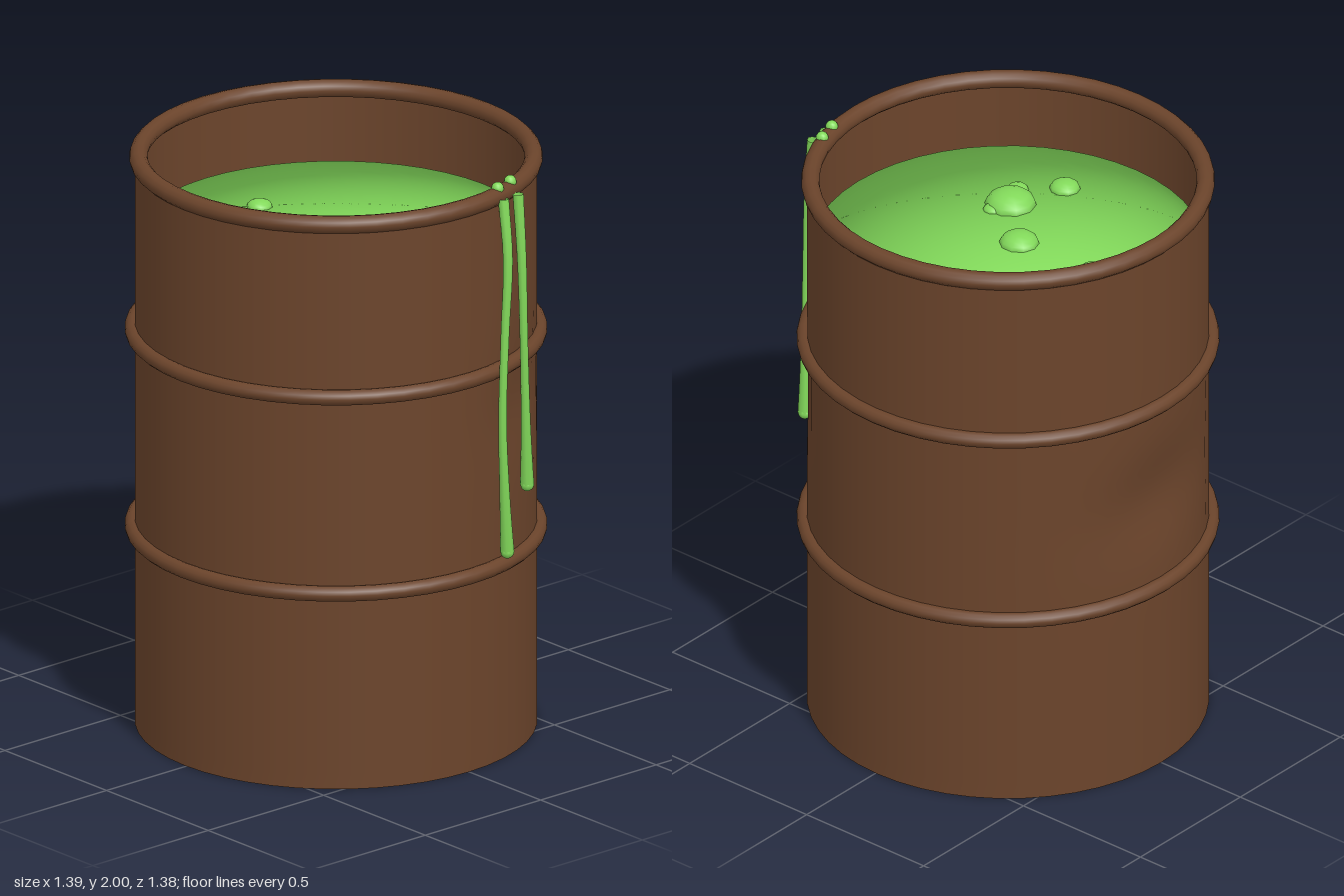
import * as THREE from 'three';

const CX = -0.007; // barrel axis

export function createModel() {
  const rust = new THREE.MeshStandardMaterial({ color: 0x6b442b, side: THREE.DoubleSide });
  rust.name = 'rusty brown';
  const slime = new THREE.MeshStandardMaterial({ color: 0x82d95a, side: THREE.DoubleSide });
  slime.name = 'slime green';

  const model = new THREE.Group();
  model.name = 'slimeBarrel';
  const add = (name, geometry, material, x, y, z) => {
    const mesh = new THREE.Mesh(geometry, material);
    mesh.name = name;
    mesh.position.set(x, y, z);
    model.add(mesh);
    return mesh;
  };

  // Open wall, pushed inwards where it is dented
  const dents = [
    { angle: Math.PI, y: 1.0, depth: 0.04, spread: 0.35, height: 0.17 },
    { angle: -0.45, y: 1.2, depth: 0.02, spread: 0.25, height: 0.17 },
  ];
  const wall = new THREE.CylinderGeometry(0.655, 0.655, 1.95, 48, 40, true);
  wall.translate(0, 0.975, 0);
  const p = wall.attributes.position;
  for (let i = 0; i < p.count; i++) {
    const angle = Math.atan2(p.getZ(i), p.getX(i));
    let r = 0.655;
    for (const d of dents) {
      const da = Math.atan2(Math.sin(angle - d.angle), Math.cos(angle - d.angle)) / d.spread;
      const dy = (p.getY(i) - d.y) / d.height;
      r -= d.depth * Math.exp(-da * da - dy * dy);
    }
    p.setX(i, r * Math.cos(angle));
    p.setZ(i, r * Math.sin(angle));
  }
  wall.computeVertexNormals();
  // Share the normals across the seam
  const n = wall.attributes.normal;
  for (let row = 0; row <= 40; row++) {
    const a = row * 49, b = a + 48;
    const v = new THREE.Vector3().fromBufferAttribute(n, a)
      .add(new THREE.Vector3().fromBufferAttribute(n, b)).normalize();
    n.setXYZ(a, v.x, v.y, v.z);
    n.setXYZ(b, v.x, v.y, v.z);
  }
  add('barrelWall', wall, rust, CX, 0, 0);

  // Base
  const base = new THREE.CircleGeometry(0.655, 48);
  base.rotateX(Math.PI / 2);
  add('barrelBase', base, rust, CX, 0.001, 0);

  // Hoops and rolled rim
  const hoops = [
    ['lowerHoop', 0.68, 0.662, 0.026],
    ['upperHoop', 1.36, 0.662, 0.026],
    ['topRim', 1.952, 0.643, 0.03],
  ];
  for (const [name, y, radius, tube] of hoops) {
    const hoop = new THREE.TorusGeometry(radius, tube, 12, 48);
    hoop.rotateX(Math.PI / 2);
    add(name, hoop, rust, CX, y, 0);
  }

  // Liquid: flattened dome that keeps its rounded normals
  const liquid = new THREE.SphereGeometry(0.64, 48, 16, 0, Math.PI * 2, 0, Math.PI / 2);
  const lp = liquid.attributes.position;
  for (let i = 0; i < lp.count; i++) lp.setY(i, lp.getY(i) * 0.01);
  add('liquidSurface', liquid, slime, CX, 1.7, 0);

  // Bubbles: x, z, radius
  const bubbles = [
    [-0.32, 0.055, 0.043], [-0.025, 0.035, 0.066], [0.157, 0.205, 0.085],
    [0.178, 0.14, 0.032], [0.198, 0.288, 0.037], [0.087, 0.395, 0.051],
  ];
  for (const [x, z, r] of bubbles) {
    add('bubble', new THREE.SphereGeometry(r, 10, 8), slime, x, 1.705, z).scale.y = 0.6;
  }

  // Drips: tubes that thin in the middle and swell to a bead
  const drips = [
    [[0.65, 1.95, -0.147], [0.68, 1.75, -0.14], [0.683, 1.5, -0.125],
      [0.682, 1.2, -0.115], [0.677, 0.95, -0.128], [0.671, 0.735, -0.145]],
    [[0.645, 1.95, -0.215], [0.66, 1.72, -0.218], [0.662, 1.45, -0.225],
      [0.655, 1.2, -0.238], [0.646, 0.935, -0.253]],
  ];
  for (const points of drips) {
    const curve = new THREE.CatmullRomCurve3(points.map((q) => new THREE.Vector3(...q)));
    const steps = 24, sides = 8;
    const tube = new THREE.TubeGeometry(curve, steps, 1, sides);
    const tp = tube.attributes.position, tn = tube.attributes.normal;
    for (let i = 0; i < tp.count; i++) {
      const t = Math.floor(i / (sides + 1)) / steps;
      const r = 0.011 + 0.007 * (1 - t) ** 2 + 0.012 * t ** 4;
      const c = curve.getPointAt(t);
      tp.setXYZ(i, c.x + r * tn.getX(i), c.y + r * tn.getY(i), c.z + r * tn.getZ(i));
    }
    add('drip', tube, slime, 0, 0, 0);
    add('dripBead', new THREE.SphereGeometry(0.023, 10, 8), slime, ...points[points.length - 1]);
  }

  // Splashes on the rim
  add('rimSplash', new THREE.SphereGeometry(0.021, 10, 8), slime, 0.62, 1.979, -0.148);
  add('rimSplash', new THREE.SphereGeometry(0.021, 10, 8), slime, 0.598, 1.979, -0.222);

  return model;
}
